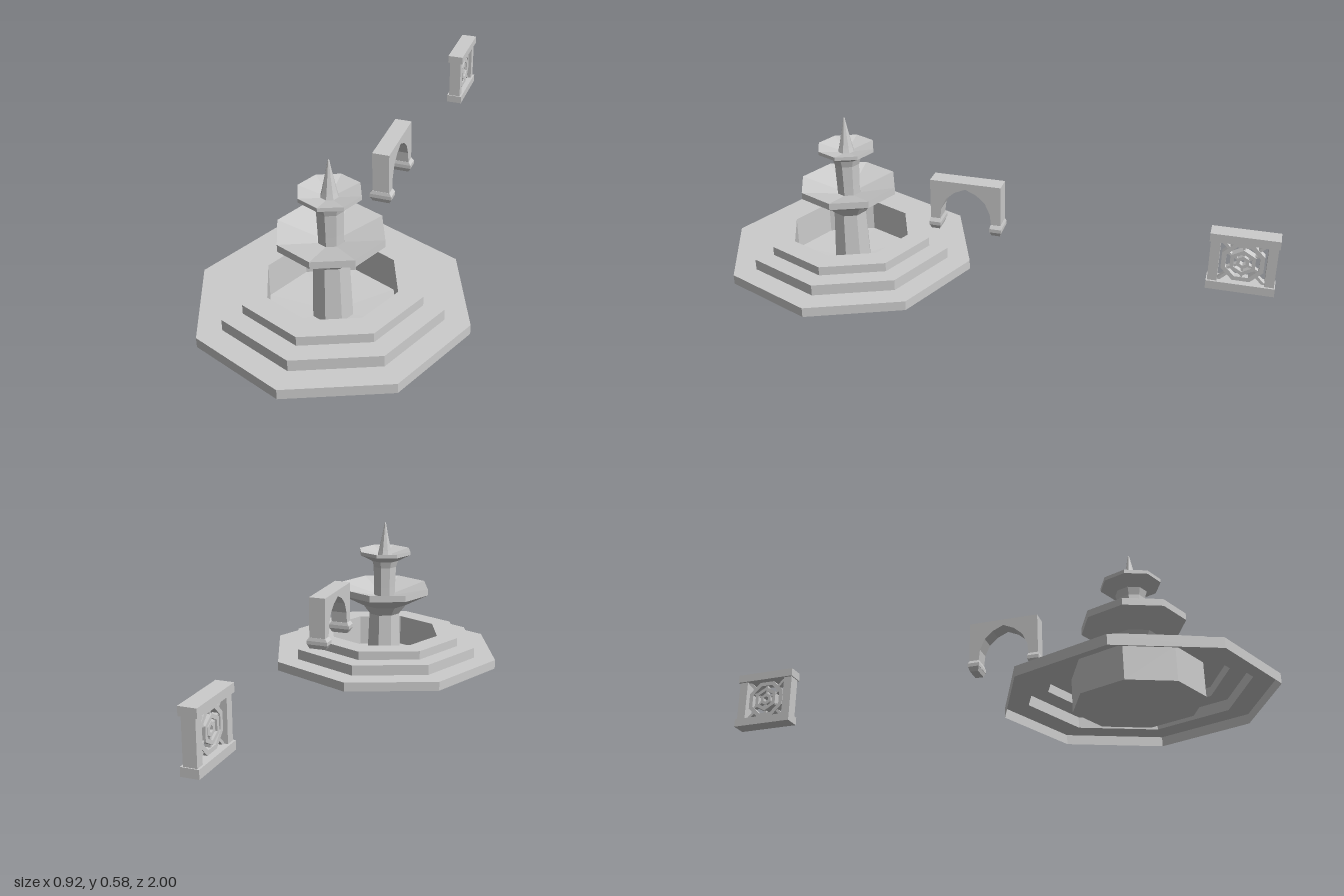
import * as THREE from 'three';

const grey = new THREE.MeshStandardMaterial({ color: 0xcccccc, flatShading: true, side: THREE.DoubleSide });

function add(parent, name, geometry, x = 0, y = 0, z = 0) {
  const mesh = new THREE.Mesh(geometry, grey);
  mesh.name = name;
  mesh.position.set(x, y, z);
  parent.add(mesh);
  return mesh;
}

const points = (list) => list.map(([x, y]) => new THREE.Vector2(x, y));
const octagonal = (profile) => new THREE.LatheGeometry(points(profile), 8);

// Extrudes a shape drawn in (z, y) along x, centred on x = 0
function slab(shape, thickness) {
  return new THREE.ExtrudeGeometry(shape, { depth: thickness, bevelEnabled: false })
    .translate(0, 0, -thickness / 2)
    .rotateY(-Math.PI / 2);
}

// Rectangular block whose top and bottom may differ in size
function taperedBlock(topX, topZ, bottomX, bottomZ, height) {
  const g = new THREE.BoxGeometry(1, height, 1);
  const p = g.attributes.position;
  for (let i = 0; i < p.count; i++) {
    const top = p.getY(i) > 0;
    p.setX(i, p.getX(i) * (top ? topX : bottomX));
    p.setZ(i, p.getZ(i) * (top ? topZ : bottomZ));
  }
  return g;
}

// Regular polygon ring in the (z, y) plane
function polygonRing(sides, outer, inner, turn) {
  const loop = (r) => Array.from({ length: sides }, (_, i) => {
    const a = turn + (i / sides) * Math.PI * 2;
    return new THREE.Vector2(Math.cos(a) * r, Math.sin(a) * r);
  });
  const shape = new THREE.Shape(loop(outer));
  if (inner) shape.holes.push(new THREE.Path(loop(inner)));
  return shape;
}

function createFountain() {
  const fountain = new THREE.Group();
  fountain.name = 'fountain';
  fountain.position.z = 0.54;

  // Stepped shell, open underneath, with the sunken pool hanging inside
  add(fountain, 'steppedBasin', octagonal([
    [0.46, 0.025], [0.46, 0.06], [0.375, 0.06], [0.375, 0.1],
    [0.305, 0.1], [0.305, 0.133], [0.222, 0.133], [0.222, 0.012], [0, 0.002],
  ]));
  add(fountain, 'lowerColumnAndBowl', octagonal([
    [0.07, 0.006], [0.065, 0.133], [0.062, 0.21], [0.09, 0.247],
    [0.18, 0.295], [0.18, 0.32], [0.045, 0.285],
  ]));
  add(fountain, 'upperColumnAndBowl', octagonal([
    [0.043, 0.28], [0.044, 0.32], [0.047, 0.4], [0.055, 0.425],
    [0.105, 0.452], [0.105, 0.465], [0.022, 0.445],
  ]));
  add(fountain, 'spire', octagonal([
    [0.03, 0.445], [0.025, 0.465], [0.011, 0.53], [0.003, 0.572], [0, 0.577],
  ]));
  return fountain;
}

function createArch() {
  const arch = new THREE.Group();
  arch.name = 'arch';
  arch.position.set(0.05, 0, 0.07);

  // Pointed opening, one half listed and mirrored
  const half = [[0.094, 0.255], [0.088, 0.305], [0.07, 0.345], [0.04, 0.372], [0, 0.39]];
  const opening = [...half, ...half.slice(0, -1).reverse().map(([z, y]) => [-z, y])];
  const outline = [[-0.127, 0.255], [-0.127, 0.412], [0.127, 0.412], [0.127, 0.255], ...opening];
  add(arch, 'archBody', slab(new THREE.Shape(points(outline)), 0.06));

  // Moulded feet
  for (const side of [-1, 1]) {
    const z = side * 0.11;
    add(arch, 'footCollar', taperedBlock(0.062, 0.036, 0.078, 0.042, 0.012), 0, 0.259, z);
    add(arch, 'footBlock', taperedBlock(0.078, 0.042, 0.078, 0.042, 0.013), 0, 0.2465, z);
    add(arch, 'footBase', taperedBlock(0.078, 0.04, 0.06, 0.03, 0.016), 0, 0.232, z);
  }
  return arch;
}

function createPanel() {
  const panel = new THREE.Group();
  panel.name = 'latticePanel';
  panel.position.set(0.05, 0.237, -0.886);

  // Rails and posts
  for (const side of [-1, 1]) {
    add(panel, 'rail', new THREE.BoxGeometry(0.06, 0.03, 0.228), 0, side * 0.09, 0);
    add(panel, 'post', new THREE.BoxGeometry(0.045, 0.15, 0.032), 0, 0, side * 0.094);
  }

  // Nested polygon tracery
  add(panel, 'outerRing', slab(polygonRing(8, 0.076, 0.06, Math.PI / 8), 0.024));
  add(panel, 'innerRing', slab(polygonRing(6, 0.048, 0.034, Math.PI / 6), 0.03));
  add(panel, 'centreRosette', slab(polygonRing(6, 0.024, 0.011, Math.PI / 6), 0.024));

  // Spokes joining the rings, and ties to the frame corners
  for (let i = 0; i < 6; i++) {
    const a = Math.PI / 6 + (i * Math.PI) / 3;
    for (const r of [0.029, 0.054]) {
      const spoke = add(panel, 'spoke', new THREE.BoxGeometry(0.018, 0.008, 0.018),
        0, Math.sin(a) * r, Math.cos(a) * r);
      spoke.rotation.x = -a;
    }
  }
  for (let i = 0; i < 4; i++) {
    const a = Math.PI / 4 + (i * Math.PI) / 2;
    const tie = add(panel, 'cornerTie', new THREE.BoxGeometry(0.02, 0.01, 0.044),
      0, Math.sin(a) * 0.088, Math.cos(a) * 0.088);
    tie.rotation.x = -a;
  }
  return panel;
}

export function createModel() {
  const model = new THREE.Group();
  model.name = 'gardenFountainSet';
  model.add(createFountain(), createArch(), createPanel());
  return model;
}
